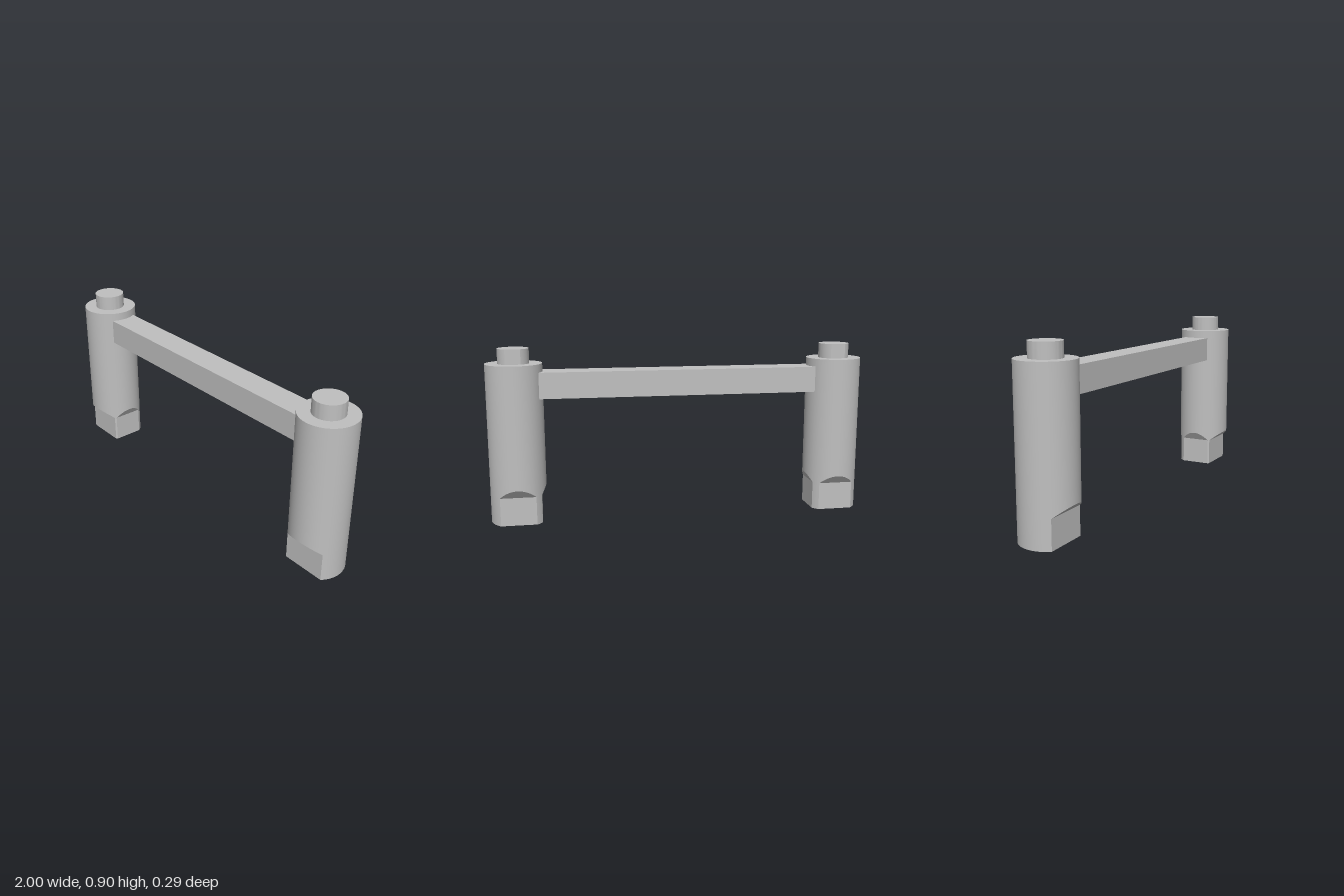
import * as THREE from 'three';
import { toCreasedNormals } from 'three/addons/utils/BufferGeometryUtils.js';

const SLOPE_BOTTOM = 0.148, SLOPE_TOP = 0.192;

// Cylinder with planar flats { angle, dist } cut into it. The flats run from y0 to y1,
// then slope out to the full radius at y2; above that the cylinder is round up to y3.
function flattenedCylinder(radius, flats, y0, y1, y2, y3) {
  const turn = Math.PI * 2;
  const wrap = (a) => ((a % turn) + turn) % turn;
  const angles = [];
  for (let i = 0; i < 72; i++) angles.push((i / 72) * turn);
  for (const f of flats) {
    const half = Math.acos(f.dist / radius);
    angles.push(wrap(f.angle - half), wrap(f.angle + half));
  }
  angles.sort((a, b) => a - b);
  const unique = angles.filter((a, i) => i === 0 || a - angles[i - 1] > 1e-4);

  // One vertical column of points for each angle
  const columns = unique.map((a) => {
    let r = radius, rise = y1;
    for (const f of flats) {
      const c = Math.cos(a - f.angle);
      if (c * radius > f.dist + 1e-6) {
        r = f.dist / c;
        rise = y1 + ((y2 - y1) * (radius * c - f.dist)) / (radius - f.dist);
      }
    }
    const at = (rad, y) => new THREE.Vector3(Math.cos(a) * rad, y, Math.sin(a) * rad);
    return [at(r, y0), at(r, y1), at(radius, rise), at(radius, y3)];
  });

  const pos = [];
  const tri = (...pts) => {
    if (new THREE.Triangle(...pts).getArea() > 1e-9) pts.forEach((p) => pos.push(p.x, p.y, p.z));
  };
  const bottom = new THREE.Vector3(0, y0, 0), top = new THREE.Vector3(0, y3, 0);
  columns.forEach((cur, i) => {
    const next = columns[(i + 1) % columns.length];
    for (let k = 0; k < 3; k++) {
      tri(cur[k], cur[k + 1], next[k + 1]);
      tri(cur[k], next[k + 1], next[k]);
    }
    tri(bottom, cur[0], next[0]);
    tri(top, next[3], cur[3]);
  });
  const geo = new THREE.BufferGeometry();
  geo.setAttribute('position', new THREE.Float32BufferAttribute(pos, 3));
  return toCreasedNormals(geo, 0.35);
}

export function createModel() {
  const model = new THREE.Group();
  model.name = 'barFrame';
  const grey = new THREE.MeshStandardMaterial({ color: 0xc0c0c0 });
  grey.name = 'grey';

  const add = (parent, name, geo) => {
    const mesh = new THREE.Mesh(geo, grey);
    mesh.name = name;
    parent.add(mesh);
    return mesh;
  };

  for (const side of [-1, 1]) {
    const post = new THREE.Group();
    post.name = side < 0 ? 'rightPost' : 'leftPost';
    post.position.x = side * 0.855;
    model.add(post);

    // Round post whose foot has front, back and inner flats
    const flats = [
      { angle: Math.PI / 2, dist: 0.09 },
      { angle: -Math.PI / 2, dist: 0.112 },
      { angle: side < 0 ? 0 : Math.PI, dist: 0.12 },
    ];
    add(post, 'postBody', flattenedCylinder(0.145, flats, 0, SLOPE_BOTTOM, SLOPE_TOP, 0.828));

    // Locating pin on top, with a flat at the back
    const pinFlat = [{ angle: -Math.PI / 2, dist: 0.07 }];
    const pin = flattenedCylinder(0.08, pinFlat, 0.828, 0.905, 0.905, 0.905);
    add(post, 'pin', pin);
  }

  // Crossbar between the posts
  const bar = add(model, 'crossbar', new THREE.BoxGeometry(1.466, 0.135, 0.145));
  bar.position.set(0, 0.718, -0.002);

  return model;
}
